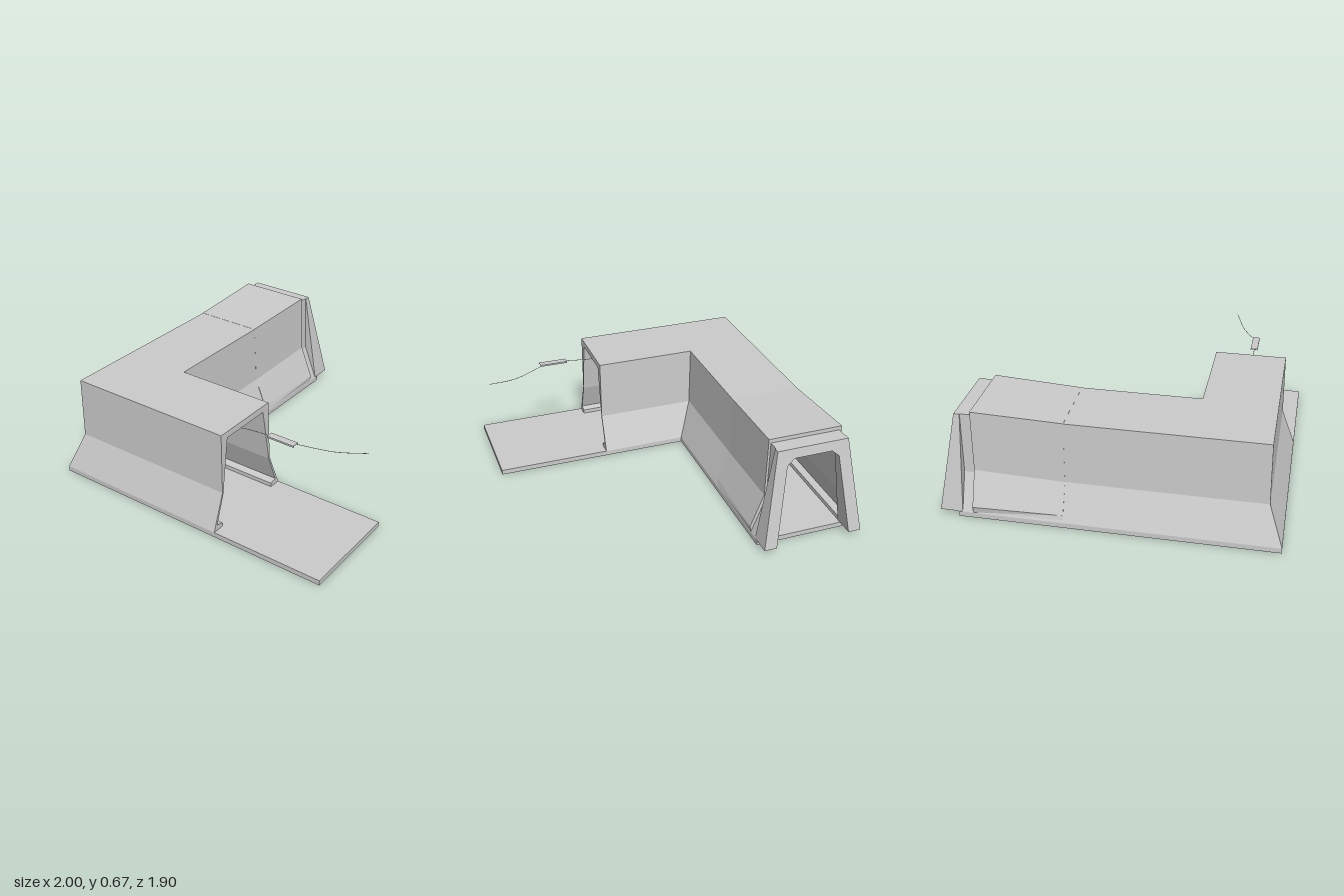
import * as THREE from 'three';

const MAT = new THREE.MeshStandardMaterial({ color: 0xcccccc, flatShading: true, side: THREE.DoubleSide });
const CX = -0.685, CZ = -0.63; // centre lines of the two corridor legs

// Mirror a half profile (u, y) running bottom to top into a full closed arch
function arch(outer, inner) {
  const flip = (p) => p.map(([u, y]) => [-u, y]);
  return [
    ...outer, ...flip(outer).reverse(),
    ...flip(inner), ...[...inner].reverse(),
  ];
}

// Loft a closed counter-clockwise profile through stations { profile, place(u, y) }, with end caps
function loft(stations) {
  const n = stations[0].profile.length, pos = [], idx = [];
  for (const s of stations) for (const [u, y] of s.profile) pos.push(...s.place(u, y));
  for (let s = 0; s < stations.length - 1; s++) {
    for (let i = 0; i < n; i++) {
      const a = s * n + i, b = s * n + (i + 1) % n;
      idx.push(a, a + n, b + n, a, b + n, b);
    }
  }
  const cap = (s) => THREE.ShapeUtils.triangulateShape(
    stations[s].profile.map(([u, y]) => new THREE.Vector2(u, y)), []);
  const last = stations.length - 1;
  for (const [a, b, c] of cap(0)) idx.push(a, b, c);
  for (const [a, b, c] of cap(last)) idx.push(last * n + a, last * n + c, last * n + b);
  const g = new THREE.BufferGeometry();
  g.setAttribute('position', new THREE.Float32BufferAttribute(pos, 3));
  g.setIndex(idx);
  const flat = g.toNonIndexed();
  flat.computeVertexNormals();
  return flat;
}

const atX = (x) => (u, y) => [x, y, CZ + u];
const atZ = (z) => (u, y) => [CX + u, y, z];
const mitre = (u, y) => [CX + u, y, CZ + u];

export function createModel() {
  const model = new THREE.Group();
  const add = (name, geometry, parent = model) => {
    const m = new THREE.Mesh(geometry, MAT);
    m.name = name;
    parent.add(m);
    return m;
  };

  // L-shaped floor slab
  const plan = new THREE.Shape([
    [-1, -0.95], [-0.37, -0.95], [-0.37, 0.315], [0.89, 0.315], [0.89, 0.945], [-1, 0.945],
  ].map(([x, y]) => new THREE.Vector2(x, y)));
  add('floor', new THREE.ExtrudeGeometry(plan, { depth: 0.032, bevelEnabled: false }).rotateX(-Math.PI / 2));

  // Corridor shell with inward foot ledges, mitred at the corner
  const shellOuter = [[0.315, 0.032], [0.228, 0.26], [0.221, 0.64]];
  const shell = arch(shellOuter,
    [[0.24, 0.032], [0.24, 0.058], [0.285, 0.068], [0.22, 0.25], [0.167, 0.6]]);
  add('corridorShell', loft([
    { profile: shell, place: atZ(0.23) },
    { profile: shell, place: mitre },
    { profile: shell, place: atX(0.865) },
  ]));

  // Cover that flares gradually toward the doorway
  const coverInner = [[0.3, 0.035], [0.284, 0.075], [0.22, 0.26], [0.214, 0.63]];
  add('flaredCover', loft([
    { profile: arch([[0.312, 0.035], [0.302, 0.075], [0.229, 0.26], [0.221, 0.641]], coverInner), place: atX(0.26) },
    { profile: arch([[0.314, 0.035], [0.321, 0.075], [0.241, 0.285], [0.234, 0.665]], coverInner), place: atX(0.8) },
  ]));

  // Doorway frame: straight sides and a front that leans out toward the ground
  const frame = arch([[0.316, 0.035], [0.225, 0.64]], [[0.237, 0.035], [0.165, 0.54], [0.12, 0.58]]);
  add('doorwayFrame', loft([
    { profile: frame, place: atX(0.865) },
    { profile: frame, place: (u, y) => [0.9 + 0.1 * (0.64 - y) / 0.605, y, CZ + u] },
  ]));

  // Cable slung below the ceiling
  const path = new THREE.CatmullRomCurve3([
    [-0.53, 0.595, 0.95], [-0.59, 0.572, 0.78], [-0.63, 0.578, 0.68], [-0.675, 0.592, 0.57],
    [-0.693, 0.596, 0.42], [-0.695, 0.58, 0.23], [-0.76, 0.57, 0], [-0.8, 0.585, -0.25],
    [-0.72, 0.575, -0.58], [-0.45, 0.585, -0.7], [-0.1, 0.57, -0.72], [0.25, 0.585, -0.56],
    [0.55, 0.572, -0.54], [0.82, 0.582, -0.62],
  ].map((p) => new THREE.Vector3(...p)));
  add('cable', new THREE.TubeGeometry(path, 90, 0.002, 4));

  // Lamps hanging on the cable: tray, side rails and two tubes
  for (const [x, y, z, turn] of [
    [-0.692, 0.596, 0.49, 0], [-0.79, 0.583, -0.22, 0.2], [-0.1, 0.572, -0.7, 1.5], [0.5, 0.576, -0.54, 1.6],
  ]) {
    const lamp = new THREE.Group();
    lamp.name = 'lamp';
    lamp.position.set(x, y, z);
    lamp.rotation.y = turn;
    add('lampTray', new THREE.BoxGeometry(0.044, 0.003, 0.18), lamp).position.y = 0.004;
    for (const s of [-1, 1]) {
      add('lampRail', new THREE.BoxGeometry(0.003, 0.01, 0.18), lamp).position.x = s * 0.0205;
      add('lampTube', new THREE.CylinderGeometry(0.004, 0.004, 0.16, 6).rotateX(Math.PI / 2), lamp)
        .position.set(s * 0.01, -0.002, 0);
    }
    model.add(lamp);
  }
  return model;
}
